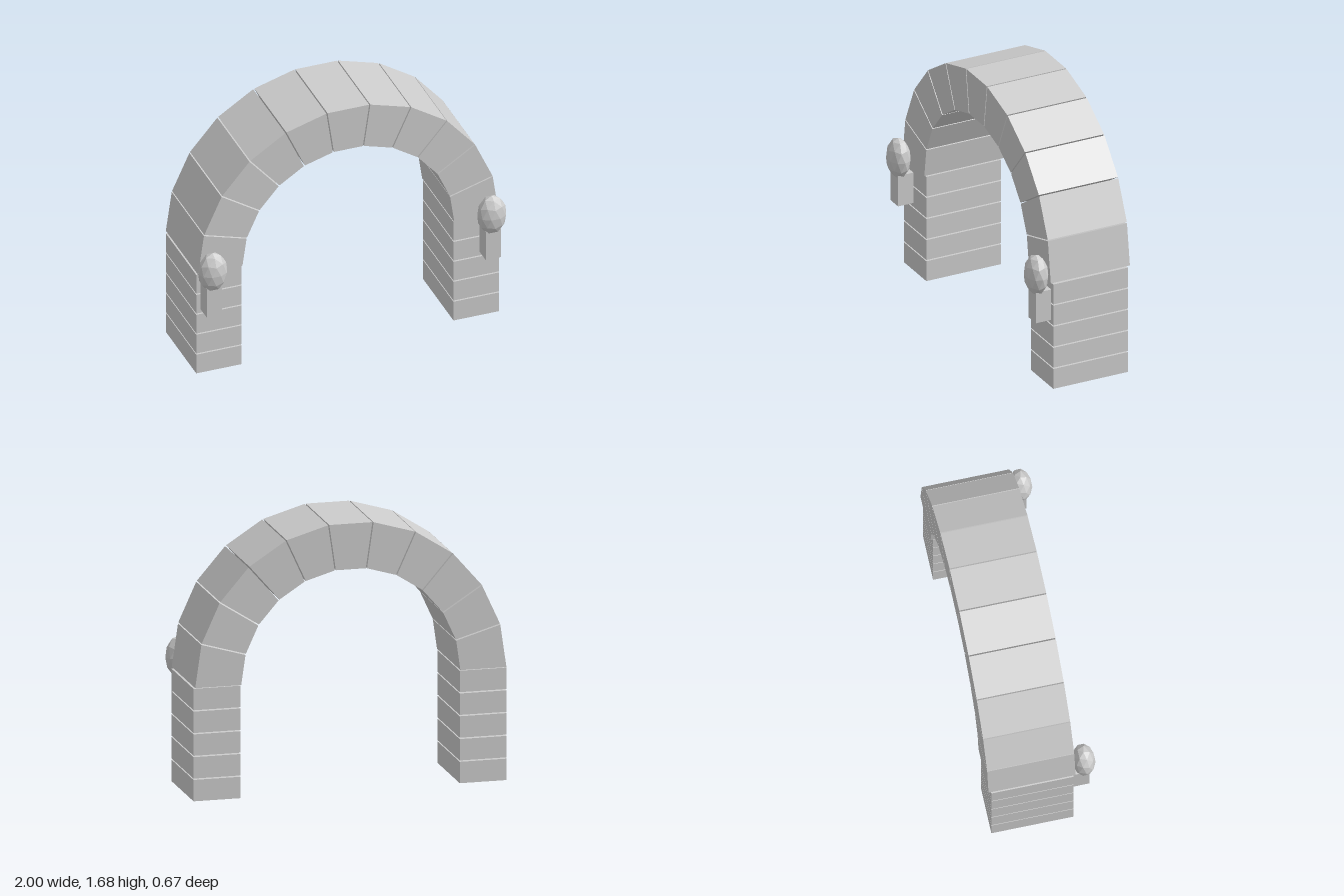
import * as THREE from 'three';

export function createModel() {
  const group = new THREE.Group();
  group.name = 'stoneArchway';
  const stone = new THREE.MeshStandardMaterial({ color: 0xcccccc });
  stone.name = 'grey stone';

  const add = (name, geometry, x, y, z) => {
    const mesh = new THREE.Mesh(geometry, stone);
    mesh.name = name;
    mesh.position.set(x, y, z);
    group.add(mesh);
  };

  // Arch ring: wedge stones with thin parallel joints
  const count = 11, springY = 0.709, outer = 0.978, inner = 0.689, joint = 0.004;
  const half = Math.PI / count / 2;
  const wedge = new THREE.Shape();
  const xo = outer * Math.sin(half) - joint, yo = outer * Math.cos(half);
  const xi = inner * Math.sin(half) - joint, yi = inner * Math.cos(half);
  wedge.moveTo(-xi, yi);
  wedge.lineTo(xi, yi);
  wedge.lineTo(xo, yo);
  wedge.lineTo(-xo, yo);
  wedge.closePath();
  for (let i = 0; i < count; i++) {
    const stoneGeo = new THREE.ExtrudeGeometry(wedge, { depth: 0.54, bevelEnabled: false });
    stoneGeo.rotateZ((i - (count - 1) / 2) * 2 * half);
    add('archStone' + (i + 1), stoneGeo, 0, springY, -0.336);
  }

  // Faceted lamp globe with a vertex at each pole
  const globe = new THREE.IcosahedronGeometry(1, 1);
  globe.rotateX(-Math.atan((1 + Math.sqrt(5)) / 2));
  globe.scale(0.094, 0.133, 0.072);
  globe.computeVertexNormals();

  for (const side of [-1, 1]) {
    const label = side > 0 ? 'left' : 'right';
    // Pillar of five stacked blocks
    for (let i = 0; i < 5; i++) {
      add(label + 'PillarBlock' + (i + 1), new THREE.BoxGeometry(0.295, 0.134, 0.51),
        side * 0.836, 0.068 + i * 0.1425, -0.065);
    }
    // Lamp on the front of the pillar
    add(label + 'LampPost', new THREE.BoxGeometry(0.098, 0.205, 0.105), side * 0.907, 0.5575, 0.2425);
    add(label + 'LampGlobe', globe, side * 0.907, 0.757, 0.268);
  }
  return group;
}
